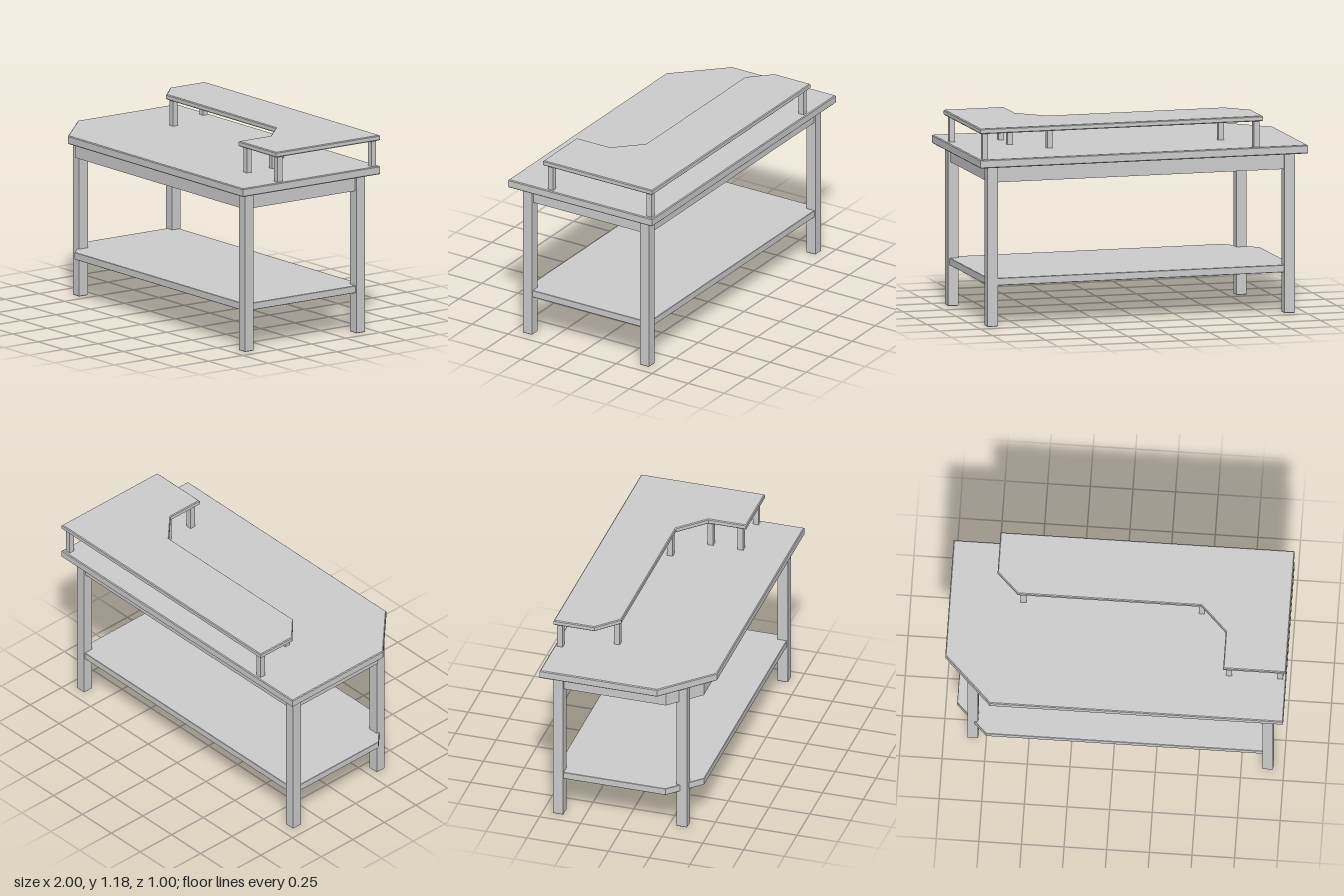
import * as THREE from 'three';

const material = new THREE.MeshStandardMaterial({ color: 0xcccccc, flatShading: true });

// Outline given as [x, z] floor-plan corners
const plan = (points) => points.map(([x, z]) => new THREE.Vector2(x, -z));

// Upright prism between two heights with finely eased edges
function slab(name, points, bottom, top, hole, ease = 0.005) {
  const shape = new THREE.Shape(plan(points));
  if (hole) shape.holes.push(new THREE.Path(plan(hole)));
  const geometry = new THREE.ExtrudeGeometry(shape, {
    depth: top - bottom - 2 * ease,
    bevelEnabled: ease > 0,
    bevelSize: ease,
    bevelThickness: ease,
    bevelOffset: -ease,
    bevelSegments: 1,
  });
  geometry.rotateX(-Math.PI / 2).translate(0, bottom + ease, 0);
  const mesh = new THREE.Mesh(geometry, material);
  mesh.name = name;
  return mesh;
}

// Rectangle with its front corner at -x cut at 45 degrees, where z - x = cut
const cutRect = (hx, hz, cut) => [
  [-hx, -hz], [-hx, cut - hx], [hz - cut, hz], [hx, hz], [hx, -hz],
];

const square = (x, z, w, d = w) => [
  [x - w / 2, z - d / 2], [x - w / 2, z + d / 2], [x + w / 2, z + d / 2], [x + w / 2, z - d / 2],
];

export function createModel() {
  const desk = new THREE.Group();
  desk.name = 'desk';

  // Worktop, apron frame and lower shelf share the cut corner
  desk.add(slab('worktop', cutRect(1, 0.5, 1.22), 0.95, 1.0));
  desk.add(slab('apron', cutRect(0.922, 0.427, 1.172), 0.853, 0.951, cutRect(0.891, 0.396, 1.128), 0));
  desk.add(slab('lowerShelf', cutRect(0.928, 0.43, 1.177), 0.242, 0.285, null, 0.002));

  // Legs, one pulled in behind the cut corner
  const legs = new THREE.Group();
  legs.name = 'legs';
  for (const [x, z] of [[0.906, 0.406], [0.906, -0.406], [-0.906, -0.406], [-0.829, 0.328]])
    legs.add(slab('leg', square(x, z, 0.0625), 0, 0.952, null, 0.003));
  desk.add(legs);

  // Raised shelf, wrapping forward along the model's left side
  desk.add(slab('raisedShelf', [
    [-0.725, -0.5], [-0.725, -0.25], [-0.597, -0.125], [0.48, -0.125],
    [0.632, 0.027], [0.632, 0.258], [1, 0.258], [1, -0.5],
  ], 1.154, 1.185));

  // Posts under the raised shelf
  const posts = new THREE.Group();
  posts.name = 'posts';
  for (const [x, z] of [
    [-0.69, -0.467], [-0.566, -0.157], [0.479, -0.157], [0.665, 0.033],
    [0.665, 0.217], [0.965, 0.217], [0.965, -0.467],
  ])
    posts.add(slab('post', square(x, z, 0.033, 0.035), 0.998, 1.156, null, 0));
  desk.add(posts);

  return desk;
}
